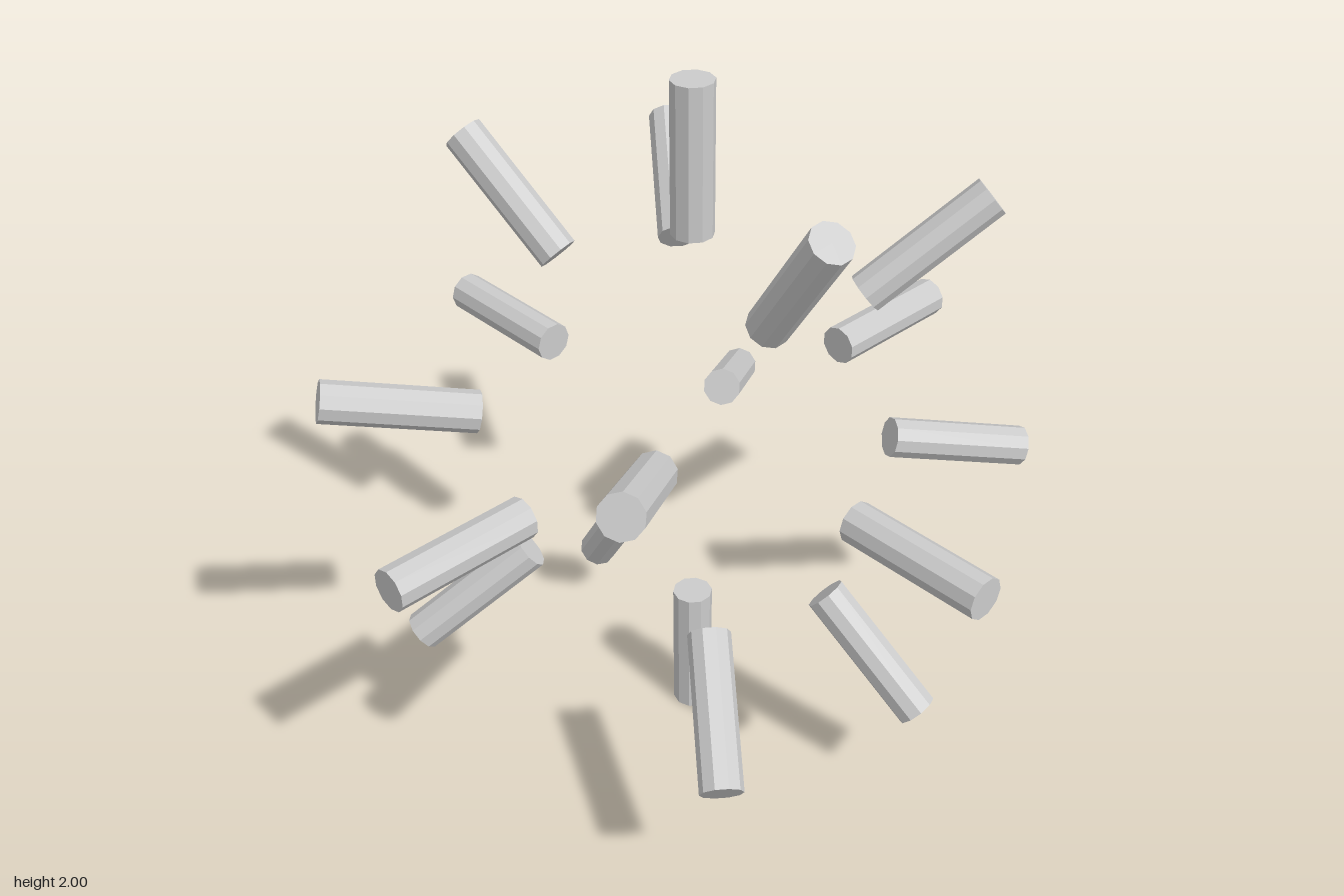
import * as THREE from 'three';

const INNER = 0.588, OUTER = 1, RADIUS = 0.057;

// One direction per opposite pair of rods
const AXES = [
  [1, 0, 0], [0, 1, 0], [0, 0, 1],
  [-0.717, 0.68, 0.17],
  [0.56, 0.82, 0.112],
  [0.55, 0.39, 0.738],
  [-0.497, 0.225, 0.838],
  [-0.663, 0.525, -0.535],
  [0.433, 0.62, -0.653],
];

export function createModel() {
  const model = new THREE.Group();
  model.name = 'radialRods';
  const material = new THREE.MeshStandardMaterial({ color: 0xcccccc, flatShading: true });

  // Rod along +y, starting at the inner radius of the burst
  const rodGeometry = new THREE.CylinderGeometry(RADIUS, RADIUS, OUTER - INNER, 10);
  rodGeometry.translate(0, (INNER + OUTER) / 2, 0);

  const up = new THREE.Vector3(0, 1, 0);
  AXES.forEach((axis, i) => {
    for (const sign of [1, -1]) {
      const direction = new THREE.Vector3(...axis).normalize().multiplyScalar(sign);
      const rod = new THREE.Mesh(rodGeometry, material);
      rod.name = `rod${i + 1}${sign > 0 ? 'Near' : 'Opposite'}`;
      rod.quaternion.setFromUnitVectors(up, direction);
      rod.position.y = 1;
      model.add(rod);
    }
  });
  return model;
}
